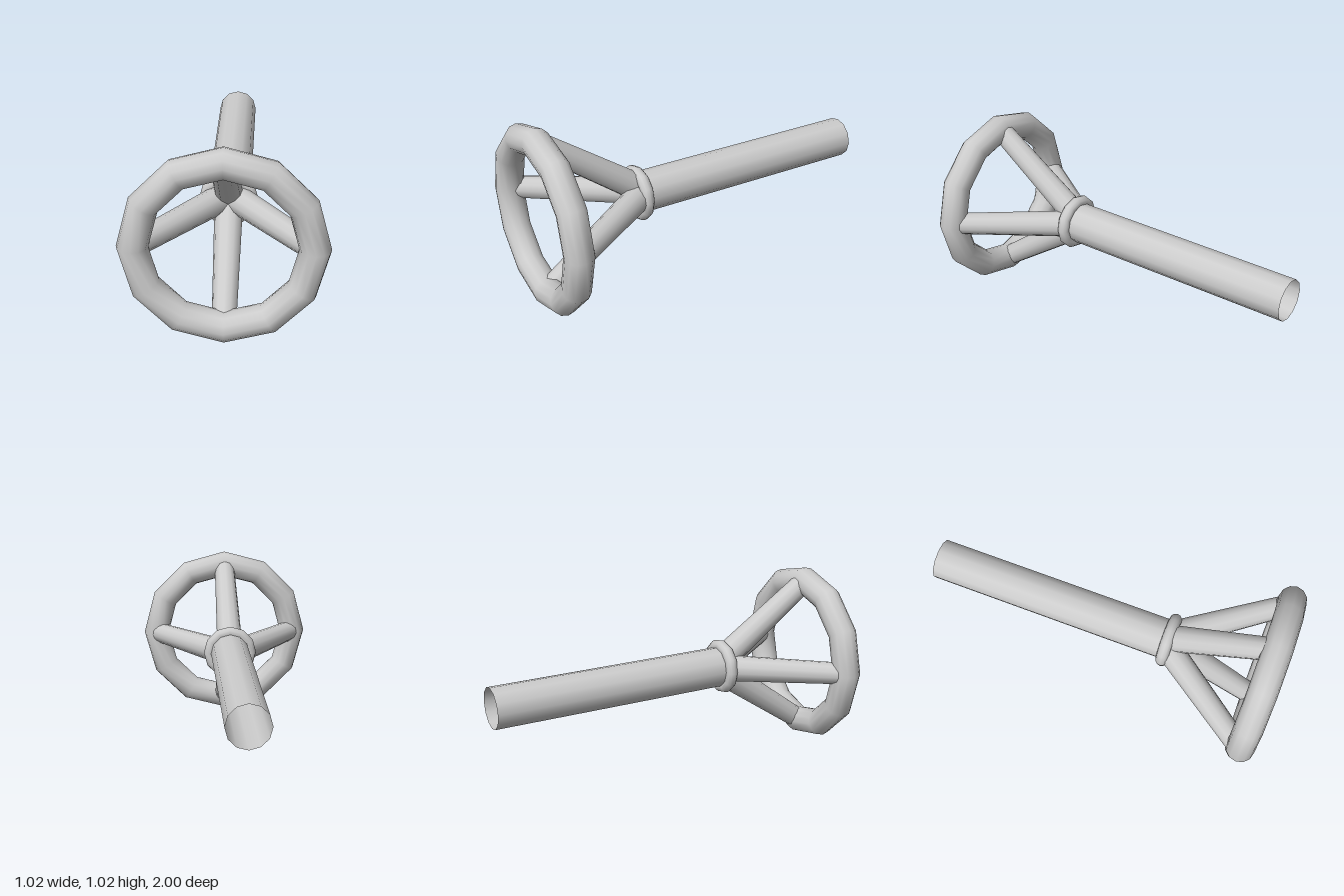
import * as THREE from 'three';

const CENTER_Y = 0.51;
const RIM = { radius: 0.433, tube: 0.077, z: 0.923 };
const HUB_Z = 0.32;

export function createModel() {
  const group = new THREE.Group();
  const material = new THREE.MeshStandardMaterial({ color: 0xcccccc });
  const openMaterial = new THREE.MeshStandardMaterial({ color: 0xcccccc, side: THREE.DoubleSide });

  const add = (name, geometry, mat = material) => {
    const mesh = new THREE.Mesh(geometry, mat);
    mesh.name = name;
    group.add(mesh);
    return mesh;
  };

  // Twelve-sided hand wheel rim
  add('rim', new THREE.TorusGeometry(RIM.radius, RIM.tube, 12, 12))
    .position.set(0, CENTER_Y, RIM.z);

  // Collar where the spokes meet the shaft
  add('collar', new THREE.TorusGeometry(0.12, 0.034, 12, 12))
    .position.set(0, CENTER_Y, 0.367);

  // Hollow shaft, open at its ends
  const front = 0.367, back = -1;
  const shaft = add('shaft',
    new THREE.CylinderGeometry(0.113, 0.113, front - back, 12, 1, true), openMaterial);
  shaft.rotation.x = Math.PI / 2;
  shaft.position.set(0, CENTER_Y, (front + back) / 2);

  // Four tapered spokes slanting from the hub out to the rim
  const start = new THREE.Vector3(0, CENTER_Y, HUB_Z);
  const up = new THREE.Vector3(0, 1, 0);
  for (let i = 0; i < 4; i++) {
    const a = i * Math.PI / 2;
    const end = new THREE.Vector3(
      Math.cos(a) * RIM.radius, CENTER_Y + Math.sin(a) * RIM.radius, RIM.z);
    const dir = end.clone().sub(start);
    const spoke = add('spoke', new THREE.CylinderGeometry(0.06, 0.076, dir.length(), 12));
    spoke.position.copy(start).add(end).multiplyScalar(0.5);
    spoke.quaternion.setFromUnitVectors(up, dir.normalize());
  }

  return group;
}
